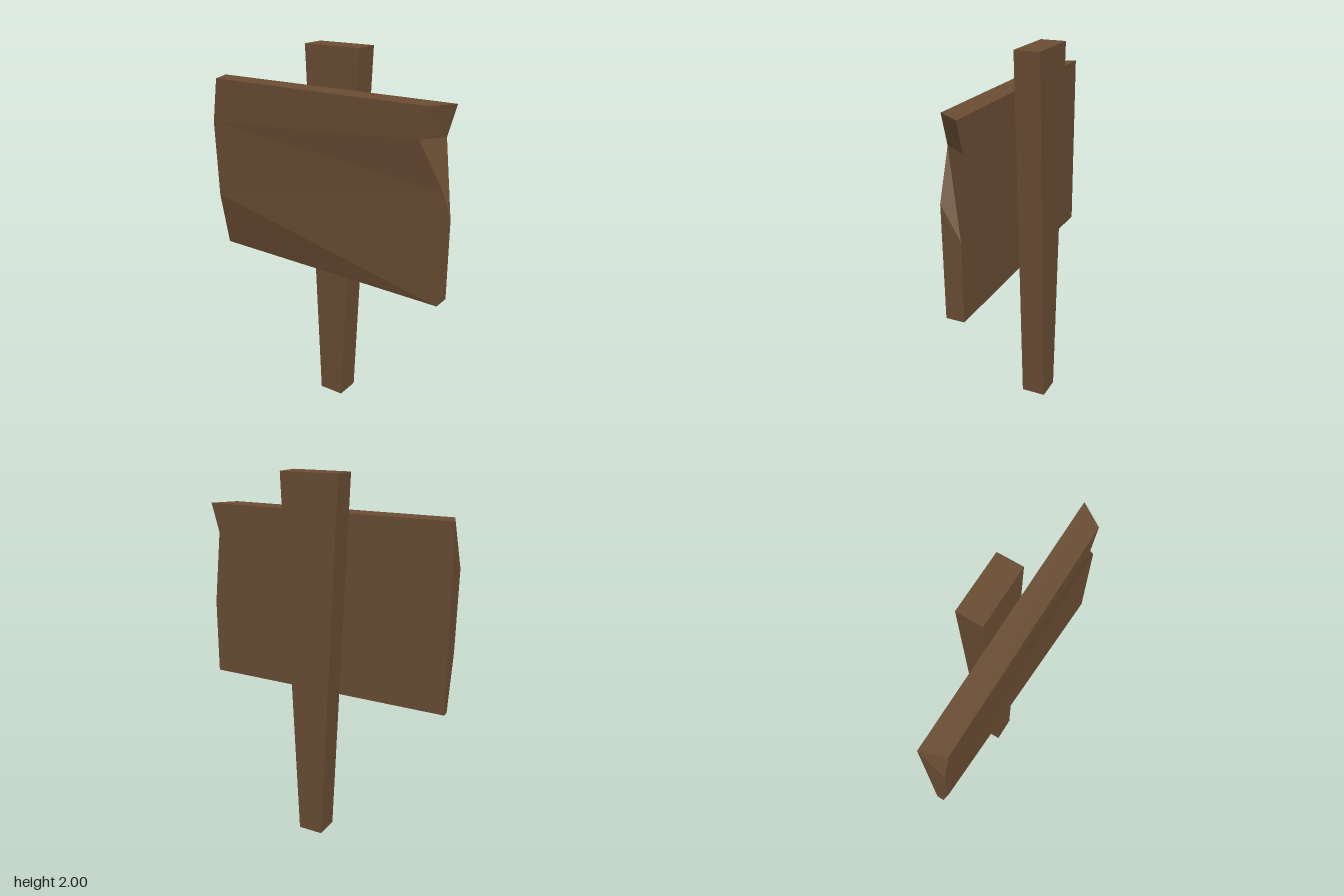
import * as THREE from 'three';

export function createModel() {
  const model = new THREE.Group();
  model.name = 'woodenSign';
  const wood = new THREE.MeshStandardMaterial({ color: 0x6b4e34 });
  wood.name = 'brown wood';
  wood.flatShading = true;

  // Post: a stake tapering towards the ground
  const stake = new THREE.Shape([[-0.07, 0], [0.07, 0], [0.163, 2], [-0.163, 2]]
    .map(([x, y]) => new THREE.Vector2(x, y)));
  const postGeometry = new THREE.ExtrudeGeometry(stake, { depth: 0.136, bevelEnabled: false });
  postGeometry.translate(0, 0, -0.137);
  const post = new THREE.Mesh(postGeometry, wood);
  post.name = 'post';
  model.add(post);

  // Board: matching back and front outlines, with a chipped right edge and worn left edge
  const back = [
    [-0.705, 0.81], [0.705, 0.81], [0.705, 1.23], [0.66, 1.635],
    [0.705, 1.795], [-0.705, 1.795], [-0.705, 1.55], [-0.705, 1.12],
  ];
  const front = [
    [-0.705, 0.81, 0.05], [0.705, 0.81, 0.109], [0.705, 1.4, 0.11], [0.58, 1.635, 0.132],
    [0.62, 1.795, 0.136], [-0.66, 1.795, 0.136], [-0.705, 1.55, 0.126], [-0.705, 1.12, 0.109],
  ];
  const n = back.length;
  const index = [];
  // Front face in three shallow bands
  for (const tri of [[0, 1, 7], [1, 2, 7], [7, 2, 6], [2, 3, 6], [6, 3, 5], [3, 4, 5]]) {
    index.push(...tri.map((i) => i + n));
  }
  // Flat back
  const outline = back.map(([x, y]) => new THREE.Vector2(x, y));
  for (const [a, b, c] of THREE.ShapeUtils.triangulateShape(outline, [])) index.push(a, c, b);
  // Edges joining back to front
  for (let i = 0; i < n; i++) {
    const j = (i + 1) % n;
    index.push(i, j, j + n, i, j + n, i + n);
  }
  const points = [...back.map(([x, y]) => [x, y, 0.011]), ...front];
  const indexed = new THREE.BufferGeometry();
  indexed.setAttribute('position', new THREE.Float32BufferAttribute(points.flat(), 3));
  indexed.setIndex(index);
  const boardGeometry = indexed.toNonIndexed();
  boardGeometry.computeVertexNormals();
  const board = new THREE.Mesh(boardGeometry, wood);
  board.name = 'board';
  model.add(board);

  return model;
}
